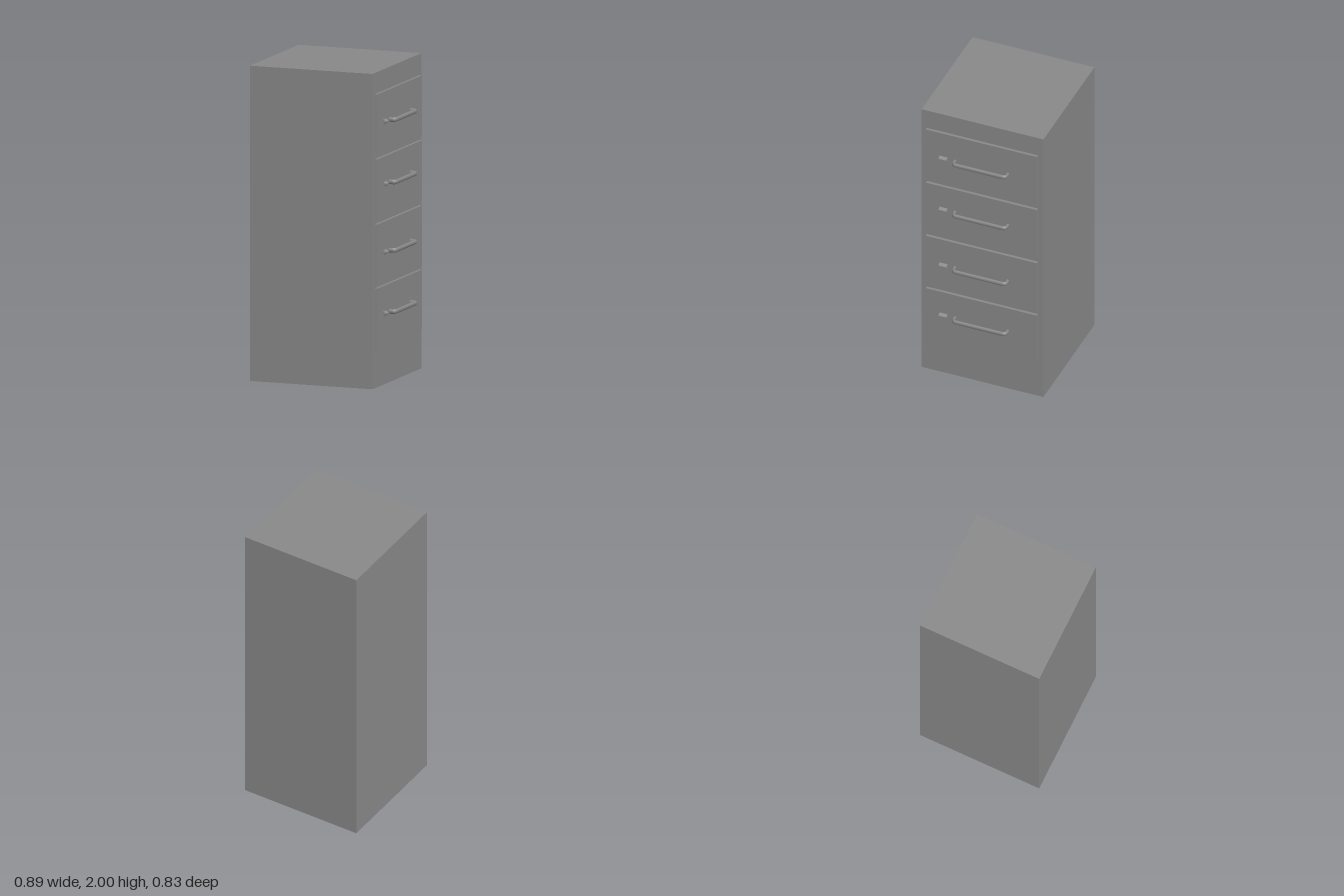
import * as THREE from 'three';

const material = new THREE.MeshStandardMaterial({ color: 0x888888 });

// Box given by its min and max corners
function box(name, [x0, y0, z0], [x1, y1, z1]) {
  const geometry = new THREE.BoxGeometry(x1 - x0, y1 - y0, z1 - z0);
  geometry.translate((x0 + x1) / 2, (y0 + y1) / 2, (z0 + z1) / 2);
  const mesh = new THREE.Mesh(geometry, material);
  mesh.name = name;
  return mesh;
}

// Bent pull bar with rounded corners and an oval section
function handleGeometry() {
  const inner = 0.39, outer = 0.437, half = 0.179, r = 0.022;
  const v = (x, z) => new THREE.Vector3(x, 0, z);
  const path = new THREE.CurvePath();
  path.add(new THREE.LineCurve3(v(inner, -half), v(outer - r, -half)));
  path.add(new THREE.QuadraticBezierCurve3(v(outer - r, -half), v(outer, -half), v(outer, -half + r)));
  path.add(new THREE.LineCurve3(v(outer, -half + r), v(outer, half - r)));
  path.add(new THREE.QuadraticBezierCurve3(v(outer, half - r), v(outer, half), v(outer - r, half)));
  path.add(new THREE.LineCurve3(v(outer - r, half), v(inner, half)));
  return new THREE.TubeGeometry(path, 100, 0.0097, 16).scale(1, 1.5, 1);
}

// Small thumb latch: a ridge running along z
function latchGeometry() {
  const profile = new THREE.Shape([
    new THREE.Vector2(0.395, -0.016),
    new THREE.Vector2(0.416, -0.002),
    new THREE.Vector2(0.416, 0.002),
    new THREE.Vector2(0.395, 0.016),
  ]);
  return new THREE.ExtrudeGeometry(profile, { depth: 0.054, bevelEnabled: false }).translate(0, 0, 0.229);
}

export function createModel() {
  const model = new THREE.Group();
  model.name = 'filingCabinet';
  model.add(box('body', [-0.447, 0, -0.413], [0.378, 2, 0.413]));

  // Drawers: bottom, top and handle height of each
  const fittings = { handle: handleGeometry(), latch: latchGeometry() };
  const drawers = [
    [0.255, 0.634, 0.458],
    [0.658, 1.041, 0.847],
    [1.076, 1.454, 1.28],
    [1.485, 1.866, 1.676],
  ];
  for (const [bottom, top, y] of drawers) {
    const drawer = new THREE.Group();
    drawer.name = 'drawer';
    drawer.add(box('drawerFront', [0.37, bottom, -0.376], [0.397, top, 0.376]));
    for (const [name, geometry] of Object.entries(fittings)) {
      const fitting = new THREE.Mesh(geometry, material);
      fitting.name = name;
      fitting.position.y = y;
      drawer.add(fitting);
    }
    model.add(drawer);
  }
  return model;
}
